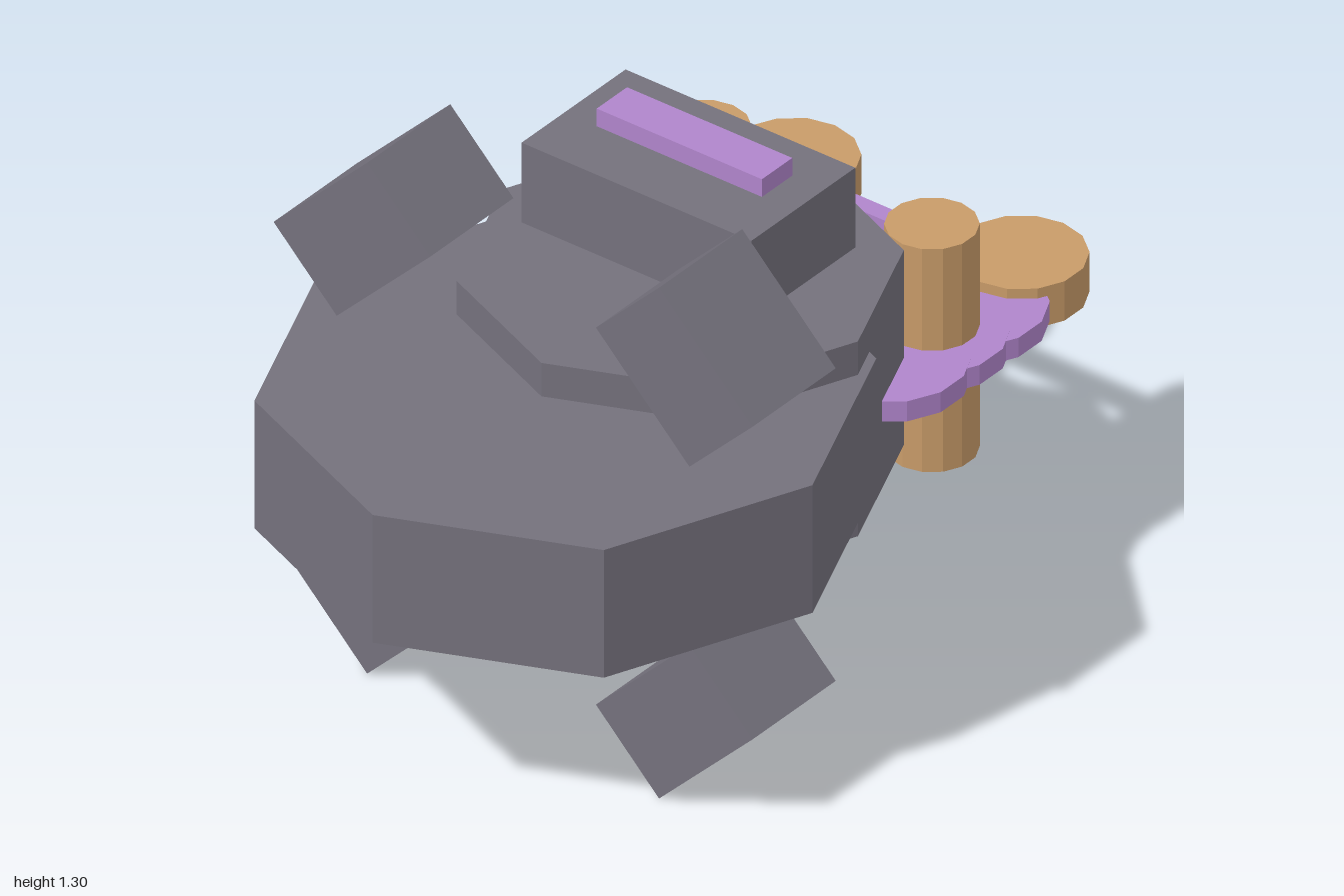
import * as THREE from 'three';

const material = (name, color) => {
  const m = new THREE.MeshStandardMaterial({ color });
  m.name = name;
  m.flatShading = true;
  return m;
};

export function createModel() {
  const model = new THREE.Group();
  model.name = 'model';
  const grey = material('slate grey', 0x74717c);
  const tan = material('tan', 0xc89b69);
  const purple = material('lilac', 0xb085cb);

  const add = (name, geometry, mat, x, y, z) => {
    const mesh = new THREE.Mesh(geometry, mat);
    mesh.name = name;
    mesh.position.set(x, y, z);
    model.add(mesh);
    return mesh;
  };
  const box = (name, mat, w, h, d, x, y, z) =>
    add(name, new THREE.BoxGeometry(w, h, d), mat, x, y, z);
  // Upright prism between two heights
  const prism = (name, mat, sides, r, y0, y1, x, z) =>
    add(name, new THREE.CylinderGeometry(r, r, y1 - y0, sides), mat, x, (y0 + y1) / 2, z);

  // Octagonal hulls
  prism('wideHull', grey, 8, 0.667, 0.49, 0.815, 0, 0.329);
  prism('tallHull', grey, 8, 0.48, 0.404, 0.9, 0, -0.068);

  // Floating bridge with a light strip
  box('bridge', grey, 0.62, 0.203, 0.36, 0, 1.064, -0.097);
  box('bridgeStrip', purple, 0.446, 0.045, 0.105, 0, 1.188, -0.118);

  for (const side of [1, -1]) {
    // Tilted pods above and below the hull
    for (const up of [1, -1]) {
      const pod = box(up > 0 ? 'upperPod' : 'lowerPod', grey,
        0.357, 0.241, 0.288, side * 0.435, up > 0 ? 1.09 : 0.212, 0.366);
      pod.rotation.z = -side * up * Math.PI / 4;
    }
    // Engine column and rear disc
    const x = side * 0.308;
    prism('engineColumn', tan, 14, 0.102, 0.317, 0.884, x, -0.545);
    prism('rearDisc', tan, 14, 0.145, 0.55, 0.65, x, -0.855);

    // Scalloped plate of three overlapping lobes, split slightly in height to avoid coplanar faces
    [-0.39, -0.525, -0.66].forEach((z, i) => {
      const e = i * 0.0005;
      prism('plateLobe', purple, 14, 0.18, 0.575 + e, 0.626 - e, x, z);
    });
  }

  // Crossbar joining the rear discs
  box('crossbar', purple, 0.6, 0.05, 0.044, 0, 0.6, -0.825);
  return model;
}
